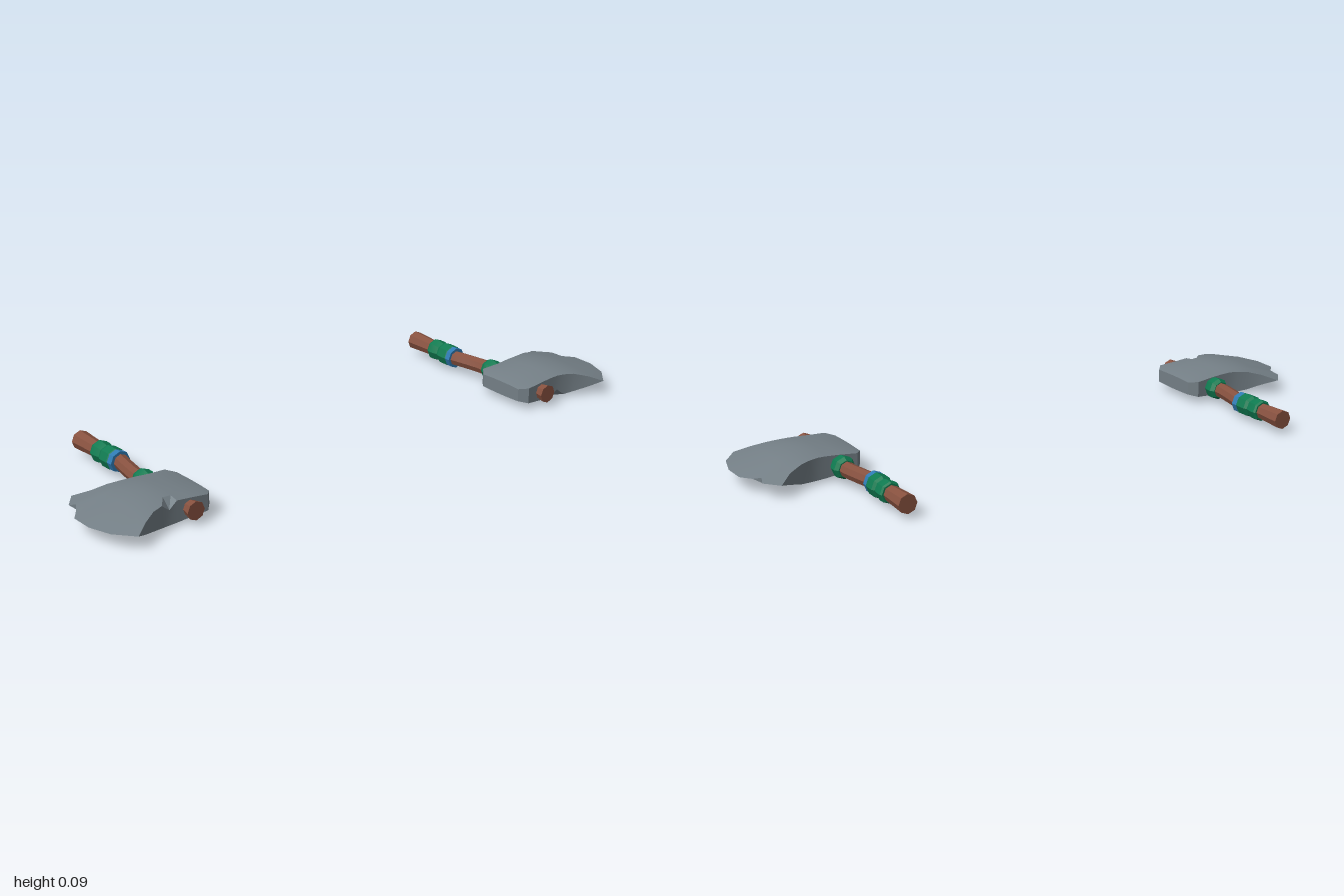
import * as THREE from 'three';
import { toCreasedNormals } from 'three/addons/utils/BufferGeometryUtils.js';

const MID = 0.052; // height of the axes' middle plane

function material(name, color, extra = {}) {
  const m = new THREE.MeshStandardMaterial({ color, ...extra });
  m.name = name;
  return m;
}

// Eight-sided rod along z; each station is [z, centre x, radius]
function rod(name, stations, mat) {
  const n = stations.length - 1;
  const g = new THREE.CylinderGeometry(1, 1, 1, 8, n);
  g.rotateX(Math.PI / 2);
  const p = g.attributes.position;
  for (let i = 0; i < p.count; i++) {
    const [z, x, r] = stations[Math.round((p.getZ(i) + 0.5) * n)];
    p.setXYZ(i, x + p.getX(i) * r, MID + p.getY(i) * r, z);
  }
  const mesh = new THREE.Mesh(toCreasedNormals(g, 0.4), mat);
  mesh.name = name;
  return mesh;
}

// Axe head: rows from poll to cutting edge, columns across z
function headGeometry() {
  const across = [0, 0.14, 0.24, 0.34, 0.5, 0.68, 0.85, 1];
  // distance out, z low, z high, half thickness at middle, at sides
  const rows = [
    [0.617, 0.085, 0.25, 0.023, 0.021],
    [0.64, 0.057, 0.276, 0.030, 0.026],
    [0.70, 0.062, 0.272, 0.040, 0.031],
    [0.745, 0.061, 0.271, 0.045, 0.035],
    [0.772, 0.060, 0.271, 0.047, 0.036],
    [0.80, 0.055, 0.275, 0.046, 0.035],
    [0.835, 0.045, 0.284, 0.043, 0.031],
    [0.88, 0.028, 0.308, 0.034, 0.018],
  ];
  const grid = rows.map(([u, lo, hi, mid, side]) => across.map((t) => {
    const h = mid + (side - mid) * (2 * t - 1) ** 2;
    return { x: -u, z: lo + (hi - lo) * t, top: h, low: h };
  }));
  // Chip in the front rim
  grid[4][7].top = 0.012;
  // Curved cutting edge with one nick
  grid.push([
    [0.925, -0.008], [0.965, 0.04], [0.955, 0.065, 0.008], [0.972, 0.09],
    [1, 0.125], [1, 0.2], [0.975, 0.275], [0.922, 0.336],
  ].map(([u, z, h = 0]) => ({ x: -u, z, top: h, low: h })));

  const pos = [];
  const up = (c) => [c.x, MID + c.top, c.z];
  const down = (c) => [c.x, MID - c.low, c.z];
  const tri = (a, b, c) => pos.push(...a, ...b, ...c);
  const last = grid.length - 1;
  for (let i = 0; i < last; i++) {
    for (let j = 0; j < 7; j++) {
      const [a, b, c, d] = [grid[i][j], grid[i][j + 1], grid[i + 1][j + 1], grid[i + 1][j]];
      tri(up(a), up(d), up(c));
      tri(up(a), up(c), up(b));
      tri(down(a), down(b), down(c));
      tri(down(a), down(c), down(d));
    }
  }
  // Rim wall around the outline
  const rim = [];
  for (let j = 0; j < 7; j++) rim.push(grid[0][j]);
  for (let i = 0; i < last; i++) rim.push(grid[i][7]);
  for (let j = 7; j > 0; j--) rim.push(grid[last][j]);
  for (let i = last; i > 0; i--) rim.push(grid[i][0]);
  rim.forEach((a, k) => {
    const b = rim[(k + 1) % rim.length];
    if (b.top > 0) tri(up(a), up(b), down(b));
    if (a.top > 0) tri(up(a), down(b), down(a));
  });
  const g = new THREE.BufferGeometry();
  g.setAttribute('position', new THREE.Float32BufferAttribute(pos, 3));
  g.computeVertexNormals();
  return toCreasedNormals(g, 0.5);
}

function createAxe(mats) {
  const axe = new THREE.Group();
  const head = new THREE.Mesh(headGeometry(), mats.metal);
  head.name = 'axeHead';
  axe.add(head);
  // Slightly bent wooden handle, flared at both ends
  axe.add(rod('handle', [
    [-0.336, -0.684, 0.031], [-0.235, -0.683, 0.026], [-0.12, -0.679, 0.025],
    [-0.07, -0.689, 0.025], [-0.01, -0.699, 0.025], [0.06, -0.70, 0.025],
    [0.275, -0.70, 0.025], [0.302, -0.70, 0.030],
  ], mats.wood));
  // Grip wrapping
  axe.add(rod('rearGripWrap', [
    [-0.235, -0.683, 0.031], [-0.228, -0.683, 0.035], [-0.208, -0.683, 0.035],
    [-0.187, -0.683, 0.030],
  ], mats.green));
  axe.add(rod('frontGripWrap', [
    [-0.19, -0.683, 0.030], [-0.178, -0.683, 0.036], [-0.142, -0.682, 0.036],
    [-0.133, -0.681, 0.031],
  ], mats.green));
  axe.add(rod('gripBand', [[-0.145, -0.682, 0.0345], [-0.119, -0.68, 0.0345]], mats.blue));
  // Collar under the head
  axe.add(rod('headCollar', [
    [0.012, -0.70, 0.028], [0.026, -0.70, 0.036], [0.045, -0.70, 0.036], [0.066, -0.70, 0.028],
  ], mats.green));
  return axe;
}

export function createModel() {
  const mats = {
    metal: material('steel', 0x747f86),
    wood: material('wood', 0x87513f),
    green: material('greenCloth', 0x0f7a50),
    blue: material('blueCloth', 0x2f7ab2),
  };
  const model = new THREE.Group();
  model.name = 'axePair';
  const right = createAxe(mats);
  right.name = 'rightAxe';
  // The second axe is the first one turned over
  const left = createAxe(mats);
  left.name = 'leftAxe';
  left.rotation.z = Math.PI;
  left.position.y = 2 * MID;
  model.add(right, left);
  return model;
}
